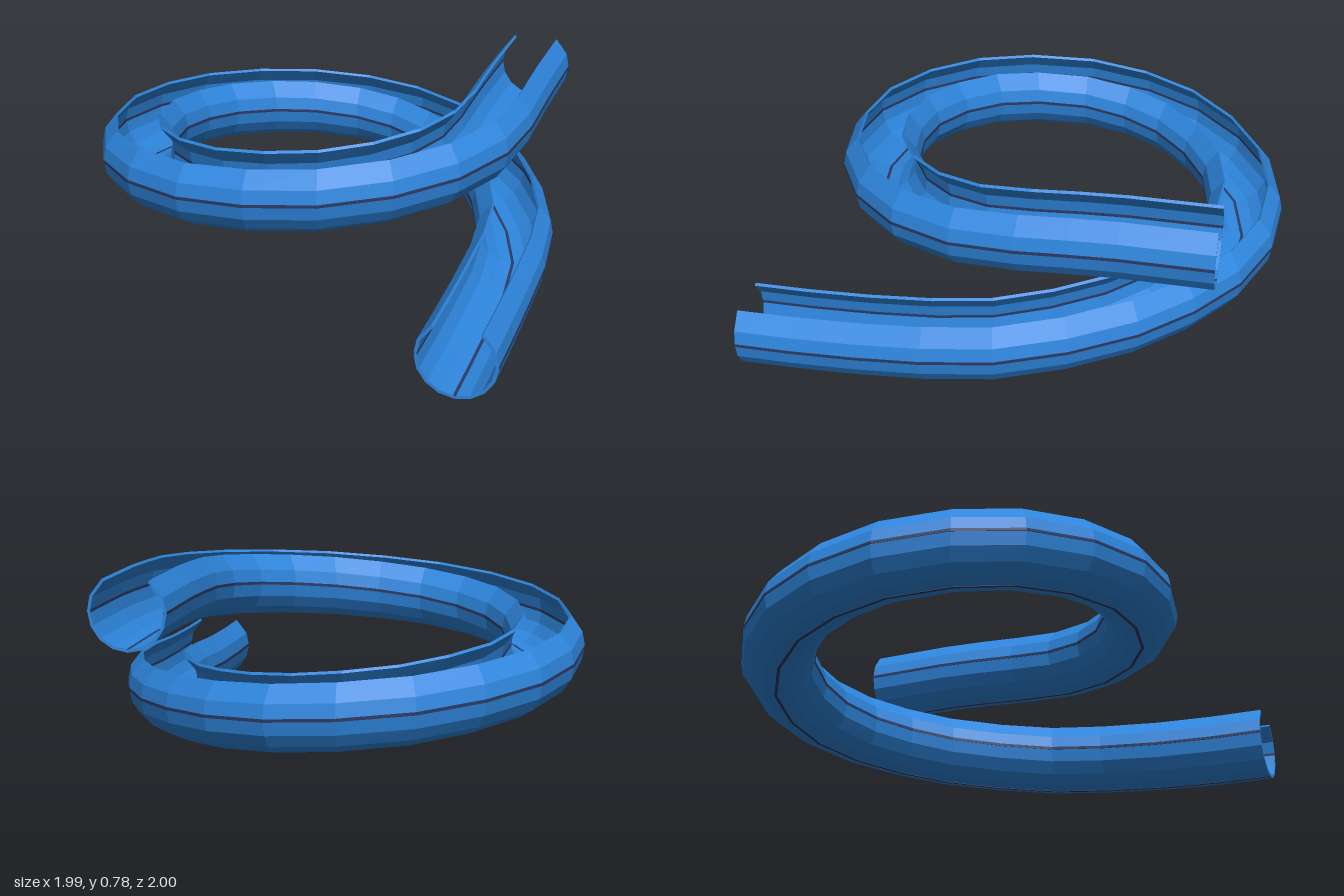
import * as THREE from 'three';

// Centre line in plan (x, z): straight run-in, one spiral turn, straight run-out
const PLAN = [
  [0.83, 1], [0.83, 0.78], [0.83, 0.53],
  [0.83, 0.27], [0.805, 0.02], [0.72, -0.22], [0.6, -0.44], [0.455, -0.61],
  [0.29, -0.745], [0.085, -0.83], [-0.135, -0.845], [-0.37, -0.79], [-0.565, -0.665],
  [-0.725, -0.49], [-0.815, -0.285], [-0.845, -0.055], [-0.795, 0.195], [-0.685, 0.395],
  [-0.51, 0.555], [-0.29, 0.655], [-0.055, 0.675], [0.18, 0.635], [0.39, 0.52],
  [0.55, 0.355], [0.65, 0.145], [0.68, -0.08],
  [0.68, -0.27], [0.68, -0.45], [0.68, -0.8],
];
const RADIUS = 0.155, WALL = 0.012;

// Height climbs evenly through the turn and eases out on the straights
function heightAt(i) {
  if (i < 3) return [0.155, 0.157, 0.167][i];
  if (i > 25) return [0.648, 0.655, 0.655][i - 26];
  return 0.188 + (i - 3) * 0.0204;
}

const path = PLAN.map(([x, z], i) => new THREE.Vector3(x, heightAt(i), z));

// Sweep a closed counter-clockwise section (sideways, up) along the path, with end caps
function sweep(section) {
  const n = section.length, positions = [], index = [];
  path.forEach((p, i) => {
    const t = path[Math.min(i + 1, path.length - 1)].clone().sub(path[Math.max(i - 1, 0)]);
    t.y = 0;
    t.normalize();
    for (const q of section) positions.push(p.x - t.z * q.x, p.y + q.y, p.z + t.x * q.x);
  });
  for (let i = 0; i < path.length - 1; i++) {
    for (let j = 0; j < n; j++) {
      const a = i * n + j, b = i * n + (j + 1) % n, c = b + n, d = a + n;
      index.push(a, d, c, a, c, b);
    }
  }
  const last = (path.length - 1) * n;
  for (const [a, b, c] of THREE.ShapeUtils.triangulateShape(section, [])) {
    index.push(a, b, c, last + a, last + c, last + b);
  }
  const geometry = new THREE.BufferGeometry();
  geometry.setAttribute('position', new THREE.Float32BufferAttribute(positions, 3));
  geometry.setIndex(index);
  geometry.computeVertexNormals();
  return geometry;
}

const polar = (r, deg) => {
  const a = THREE.MathUtils.degToRad(deg);
  return new THREE.Vector2(r * Math.cos(a), r * Math.sin(a));
};

// Round trough, open at the top
function troughSection() {
  const angles = [];
  for (let k = -6; k <= 6; k++) angles.push(-90 + (Math.abs(k) === 6 ? Math.sign(k) * 143 : k * 22.5));
  return [
    ...angles.map((a) => polar(RADIUS, a)),
    ...angles.reverse().map((a) => polar(RADIUS - WALL, a)),
  ];
}

// Narrow seam, just proud of the wall inside and out
function seamSection(deg) {
  const r0 = RADIUS - WALL - 0.0015, r1 = RADIUS + 0.001, w = 0.006;
  const turn = THREE.MathUtils.degToRad(deg), origin = new THREE.Vector2();
  return [[r0, -w], [r1, -w], [r1, w], [r0, w]]
    .map(([x, y]) => new THREE.Vector2(x, y).rotateAround(origin, turn));
}

export function createModel() {
  const blue = new THREE.MeshStandardMaterial({ color: 0x2e86de, flatShading: true });
  blue.name = 'slide blue';
  const navy = new THREE.MeshStandardMaterial({ color: 0x2c3a64, flatShading: true });
  navy.name = 'seam navy';

  const group = new THREE.Group();
  group.name = 'spiralSlide';
  const add = (name, section, material) => {
    const mesh = new THREE.Mesh(sweep(section), material);
    mesh.name = name;
    group.add(mesh);
  };

  add('trough', troughSection(), blue);
  add('outerSeam', seamSection(0), navy);
  add('bottomSeam', seamSection(-90), navy);
  add('innerSeam', seamSection(180), navy);
  return group;
}
